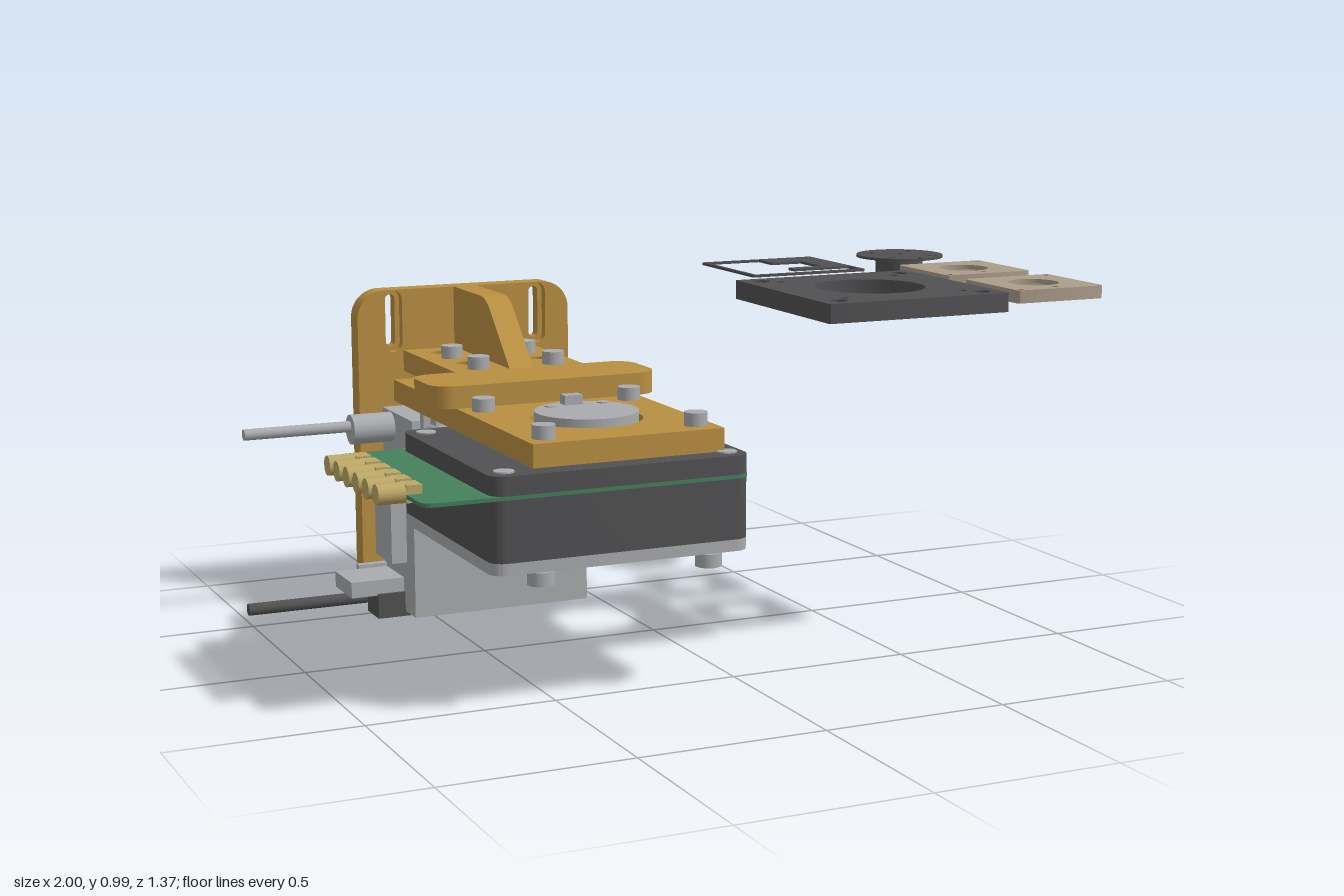
import * as THREE from 'three';
import { toCreasedNormals } from 'three/addons/utils/BufferGeometryUtils.js';

const mat = (name, color) => {
  const m = new THREE.MeshStandardMaterial({ color });
  m.name = name;
  return m;
};

export function createModel() {
  const root = new THREE.Group();
  const ochre = mat('ochre', 0xb98f42), dark = mat('charcoal', 0x515153), grey = mat('light grey', 0xa9abae);
  const green = mat('board green', 0x45805c), tan = mat('tan', 0xab9d8b), gold = mat('gold', 0xbba766);

  const add = (name, geo, m) => {
    const mesh = new THREE.Mesh(geo, m);
    mesh.name = name;
    root.add(mesh);
    return mesh;
  };
  // Box given by its limits
  const box = (name, m, x0, x1, y0, y1, z0, z1) => add(name,
    new THREE.BoxGeometry(x1 - x0, y1 - y0, z1 - z0).translate((x0 + x1) / 2, (y0 + y1) / 2, (z0 + z1) / 2), m);
  // Cylinder centred at p along an axis
  const cyl = (name, m, r, h, p, axis = 'y', n = 32) => {
    const g = new THREE.CylinderGeometry(r, r, h, n);
    if (axis === 'x') g.rotateZ(Math.PI / 2);
    if (axis === 'z') g.rotateX(Math.PI / 2);
    return add(name, g.translate(...p), m);
  };
  // Rounded rectangle outline
  const trace = (s, x0, x1, y0, y1, r) => {
    s.moveTo(x0 + r, y0).lineTo(x1 - r, y0);
    s.absarc(x1 - r, y0 + r, r, -Math.PI / 2, 0);
    s.lineTo(x1, y1 - r);
    s.absarc(x1 - r, y1 - r, r, 0, Math.PI / 2);
    s.lineTo(x0 + r, y1);
    s.absarc(x0 + r, y1 - r, r, Math.PI / 2, Math.PI);
    s.lineTo(x0, y0 + r);
    s.absarc(x0 + r, y0 + r, r, Math.PI, Math.PI * 1.5);
    return s;
  };
  const rect = (x0, x1, y0, y1, r = 0.002) => trace(new THREE.Shape(), x0, x1, y0, y1, r);
  const slot = (x0, x1, y0, y1, r = 0.002) => trace(new THREE.Path(), x0, x1, y0, y1, r);
  const hole = (x, y, r) => new THREE.Path().absarc(x, y, r, 0, Math.PI * 2);
  const poly = pts => pts.map(p => new THREE.Vector2(...p));
  const extrude = (shape, holes, depth) => {
    shape.holes.push(...holes);
    return toCreasedNormals(new THREE.ExtrudeGeometry(shape, { depth, bevelEnabled: false, curveSegments: 16 }), 0.5);
  };
  // Horizontal slab from an x-z outline, between two heights
  const slab = (name, m, shape, y0, y1, holes = []) =>
    add(name, extrude(shape, holes, y1 - y0).rotateX(Math.PI / 2).translate(0, y1, 0), m);

  // Upright mounting plate: narrow slots at the back, wider counterbores at the front
  const slots = w => [
    ...[-0.53, -0.09].map(x => slot(x - w, x + w, 0.755 - w, 0.875 + w, w - 0.001)),
    ...[-0.53, -0.31, -0.09].map(x => slot(x - w, x + w, 0.1 - w, 0.5 + w, w - 0.001))];
  [['backPlate', 0.014, -0.685, 0.035], ['backPlateFront', 0.028, -0.65, 0.025]].forEach(([n, w, z, d]) =>
    add(n, extrude(rect(-0.635, 0.01, 0.04, 0.905, 0.08), slots(w), d).translate(0, 0, z), ochre));

  // Shelf, gusset and carrier plate
  const boltX = [-0.42, -0.2];
  slab('shelf', ochre, rect(-0.5, -0.125, -0.63, -0.19), 0.67, 0.73,
    boltX.flatMap(x => [-0.54, -0.335].map(z => hole(x, z, 0.026))));
  slab('shelfHead', ochre, rect(-0.635, 0.01, -0.195, 0.018, 0.06), 0.67, 0.73);
  const rib = new THREE.Shape();
  rib.moveTo(0.63, 0.73).lineTo(0.19, 0.73).lineTo(0.335, 0.875);
  rib.quadraticCurveTo(0.365, 0.905, 0.41, 0.905).lineTo(0.63, 0.905);
  add('gusset', extrude(rib, [], 0.07).rotateY(Math.PI / 2).translate(-0.345, 0, 0), ochre);
  slab('carrierPlate', ochre, rect(-0.575, -0.055, -0.495, 0.55), 0.61, 0.67, [hole(-0.315, 0.275, 0.146)]);

  // Bolts through the shelf and carrier
  for (const x of boltX) for (const z of [-0.23, -0.44]) {
    cyl('shelfBolt', grey, 0.03, 0.035, [x, 0.7475, z]);
    cyl('shelfNut', grey, 0.028, 0.03, [x, 0.597, z], 'y', 6);
  }
  for (const x of [-0.52, -0.105]) for (const z of [0.07, 0.485])
    cyl('carrierBolt', grey, 0.03, 0.035, [x, 0.6875, z]);

  // Round sensor cap sitting in the carrier opening
  cyl('capSurround', green, 0.145, 0.006, [-0.315, 0.614, 0.275]);
  cyl('cap', grey, 0.135, 0.08, [-0.315, 0.65, 0.275], 'y', 48);
  box('capTab', grey, -0.34, -0.29, 0.69, 0.715, 0.157, 0.192);
  for (const x of [-0.38, -0.232]) cyl('capPin', grey, 0.016, 0.004, [x, 0.691, 0.19]);

  // Housing: lower shell, circuit board, upper shell, bottom cover
  const foot = () => rect(-0.705, -0.01, -0.055, 0.613, 0.04);
  slab('housingLower', dark, foot(), 0.395, 0.551);
  slab('circuitBoard', green, rect(-0.88, -0.011, -0.056, 0.612, 0.03), 0.551, 0.561);
  slab('housingUpper', dark, foot(), 0.561, 0.61);
  slab('bottomCover', grey, foot(), 0.365, 0.395, [slot(-0.54, -0.16, 0.12, 0.44)]);
  // Sloped walls of the recess underneath
  add('coverRecess', new THREE.CylinderGeometry(0.55, Math.SQRT1_2, 0.028, 4, 1, true)
    .rotateY(Math.PI / 4).scale(0.38, 1, 0.32).translate(-0.35, 0.38, 0.28),
  Object.assign(grey.clone(), { name: 'light grey open', side: THREE.DoubleSide }));
  for (const x of [-0.655, -0.055]) for (const z of [0, 0.56])
    cyl('housingScrew', grey, 0.026, 0.008, [x, 0.61, z]);
  for (const x of [-0.573, -0.119]) for (const z of [0.59, -0.027])
    cyl('footScrew', grey, 0.034, 0.035, [x, 0.3475, z]);

  // Row of coaxial sockets on the board edge
  for (let i = 0; i < 6; i++) {
    const z = 0.08 + i * 0.0775;
    cyl('socketBarrel', gold, 0.026, 0.072, [-0.914, 0.562, z], 'x', 20);
    box('socketBase', gold, -0.88, -0.84, 0.54, 0.584, z - 0.027, z + 0.027);
  }

  // Tall module behind the housing
  box('module', grey, -0.575, -0.053, 0.015, 0.575, -0.6, -0.345);
  box('moduleBoard', green, -0.54, -0.1, 0.009, 0.016, -0.575, -0.37);
  box('moduleChip', dark, -0.3, -0.24, 0.006, 0.01, -0.5, -0.44);
  box('modulePanel', grey, -0.62, -0.575, 0.16, 0.365, -0.55, -0.41);
  box('cableBracket', grey, -0.73, -0.575, 0.065, 0.11, -0.59, -0.44);
  box('bracketEar', grey, -0.66, -0.575, 0.07, 0.12, -0.614, -0.59);
  box('cablePlug', dark, -0.655, -0.56, 0, 0.07, -0.53, -0.43);
  cyl('powerCable', dark, 0.017, 0.36, [-0.82, 0.037, -0.545], 'x', 16);
  cyl('signalSocket', grey, 0.042, 0.125, [-0.632, 0.53, -0.53], 'x');
  cyl('signalCable', grey, 0.016, 0.32, [-0.84, 0.538, -0.535], 'x', 16);

  // Bent cable from the housing to the module
  const path = new THREE.CurvePath();
  const pts = [[-0.79, 0.505, 0], [-0.79, 0.505, -0.125], [-0.52, 0.535, -0.235]].map(p => new THREE.Vector3(...p));
  path.add(new THREE.LineCurve3(pts[0], pts[1]));
  path.add(new THREE.LineCurve3(pts[1], pts[2]));
  add('bentCable', new THREE.TubeGeometry(path, 40, 0.016, 12), grey);
  cyl('housingSocket', grey, 0.038, 0.14, [-0.765, 0.506, 0.01], 'x');
  cyl('moduleSocket', grey, 0.04, 0.1, [-0.51, 0.535, -0.275], 'z');
  box('socketClip', grey, -0.53, -0.49, 0.565, 0.59, -0.32, -0.275);
  box('socketFlange', grey, -0.55, -0.47, 0.505, 0.6, -0.35, -0.32);

  // Loose square adapter plate
  const corners = (cx, cz, d, r) => [[-1, -1], [1, -1], [1, 1], [-1, 1]].map(([a, b]) => hole(cx + a * d, cz + b * d, r));
  slab('adapterPlate', dark, rect(0.167, 0.69, 0.163, 0.685, 0.004), 0.937, 0.987,
    [hole(0.428, 0.424, 0.145), ...corners(0.428, 0.424, 0.21, 0.023), ...corners(0.428, 0.424, 0.174, 0.012)]);

  // Two loose trays, open below
  for (const z of [0.05, 0.398]) {
    const outer = () => rect(0.733, 0.997, z, z + 0.264, 0.012);
    slab('trayTop', tan, outer(), 0.975, 0.987, [hole(0.865, z + 0.132, 0.067), hole(0.865, z + 0.232, 0.01),
      hole(0.981, z + 0.016, 0.009), hole(0.749, z + 0.248, 0.009)]);
    slab('trayRim', tan, outer(), 0.953, 0.975, [slot(0.757, 0.973, z + 0.024, z + 0.24, 0.006)]);
  }

  // Loose flanged disc with hub
  const disc = new THREE.Shape().absarc(0.865, -0.17, 0.125, 0, Math.PI * 2);
  slab('flangeDisc', dark, disc, 0.981, 0.988, [...corners(0.865, -0.17, 0.06, 0.011),
    ...corners(0.865, -0.17, 0.076, 0.007), hole(0.865, -0.17, 0.01), hole(0.865, -0.059, 0.01)]);
  cyl('flangeHub', dark, 0.068, 0.055, [0.865, 0.9535, -0.17]);

  // Loose thin gasket frame
  const cut = new THREE.Path(poly([[0.266, -0.214], [0.43, -0.214], [0.43, -0.135], [0.522, -0.135], [0.522, -0.015],
    [0.42, -0.015], [0.42, 0.018], [0.588, 0.018], [0.588, 0.085], [0.266, 0.085]]));
  slab('gasketFrame', dark, rect(0.255, 0.6, -0.225, 0.095), 0.981, 0.988, [cut]);

  return root;
}
